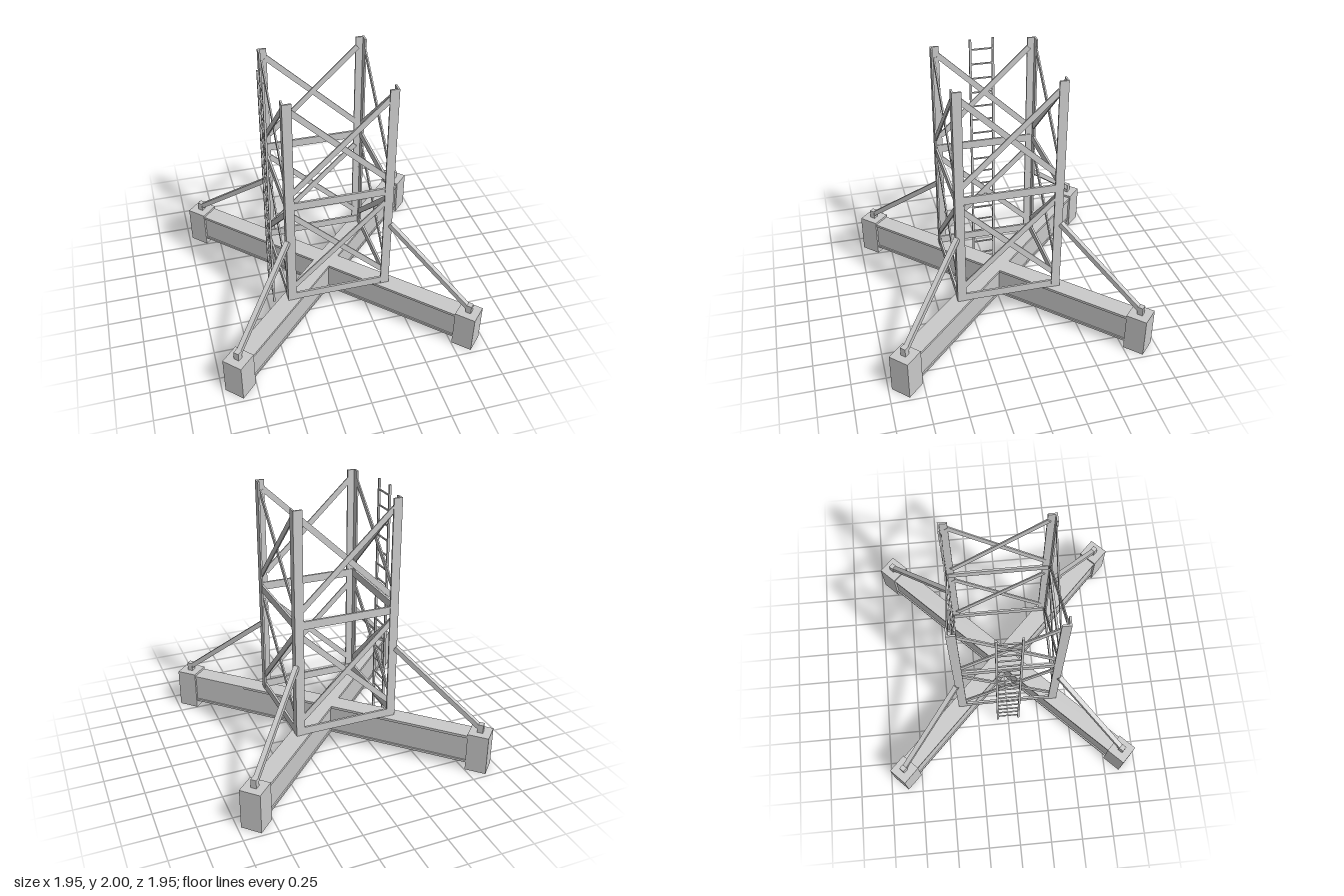
import * as THREE from 'three';

const material = new THREE.MeshStandardMaterial({ color: 0xcccccc, flatShading: true });

function box(name, w, h, d, x, y, z, parent) {
  const mesh = new THREE.Mesh(new THREE.BoxGeometry(w, h, d), material);
  mesh.name = name;
  mesh.position.set(x, y, z);
  parent.add(mesh);
  return mesh;
}

// Straight bar in the local XY plane, from (x1, y1) to (x2, y2)
function bar(name, x1, y1, x2, y2, width, depth, z, parent) {
  const length = Math.hypot(x2 - x1, y2 - y1);
  const mesh = box(name, length, width, depth, (x1 + x2) / 2, (y1 + y2) / 2, z, parent);
  mesh.rotation.z = Math.atan2(y2 - y1, x2 - x1);
  return mesh;
}

// L-shaped corner post with its outer corner at (+r, +r)
function cornerPost(parent) {
  const r = 0.395, a = 0.065, t = 0.013, bottom = 0.29, top = 2;
  const shape = new THREE.Shape([
    [r, r], [r - a, r], [r - a, r - t], [r - t, r - t], [r - t, r - a], [r, r - a],
  ].map(([x, y]) => new THREE.Vector2(x, y)));
  const geometry = new THREE.ExtrudeGeometry(shape, { depth: top - bottom, bevelEnabled: false });
  geometry.rotateX(-Math.PI / 2);
  const mesh = new THREE.Mesh(geometry, material);
  mesh.name = 'cornerPost';
  mesh.position.y = bottom;
  parent.add(mesh);
}

// One arm of the base along local +x: open-bottomed girder, foot block, brace
function baseArm(parent) {
  const end = 1.15, mid = end / 2;
  box('girderTop', end, 0.02, 0.142, mid, 0.277, 0, parent);
  for (const s of [-1, 1]) {
    box('girderWeb', end, 0.2, 0.012, mid, 0.167, s * 0.055, parent);
    box('girderLip', end, 0.018, 0.018, mid, 0.066, s * 0.062, parent);
  }
  const foot = 0.865 * Math.SQRT2;
  box('footBlock', 0.156, 0.305, 0.156, foot, 0.1525, 0, parent);
  box('footLug', 0.042, 0.065, 0.042, foot, 0.3375, 0, parent);
  bar('brace', foot, 0.335, 0.385 * Math.SQRT2, 0.86, 0.036, 0.036, 0, parent);
}

// One face of the tower, facing local +z
function towerSide(parent) {
  const z = 0.384;
  for (const y of [0.32, 1.17]) box('crossRail', 0.75, 0.06, 0.016, 0, y, z, parent);
  for (const [low, high] of [[0.425, 1.075], [1.285, 1.93]]) {
    for (const s of [-1, 1]) {
      bar('diagonal', -s * 0.34, low, s * 0.34, high, 0.042, 0.01, z - 0.003 + s * 0.004, parent);
    }
  }
}

// Ladder standing beside the right face
function ladder(parent) {
  const x = -0.45;
  for (const s of [-1, 1]) box('ladderRail', 0.016, 2, 0.016, x, 1, s * 0.086, parent);
  for (let i = 0; i < 17; i++) {
    box('ladderRung', 0.01, 0.01, 0.165, x, 1.92 - i * 0.1153, 0, parent);
  }
}

export function createModel() {
  const model = new THREE.Group();
  model.name = 'towerBase';
  for (let i = 0; i < 4; i++) {
    const arm = new THREE.Group();
    arm.name = 'baseArm';
    arm.rotation.y = Math.PI / 4 + i * Math.PI / 2;
    baseArm(arm);

    const side = new THREE.Group();
    side.name = 'towerSide';
    side.rotation.y = i * Math.PI / 2;
    towerSide(side);
    cornerPost(side);
    model.add(arm, side);
  }
  const ladderGroup = new THREE.Group();
  ladderGroup.name = 'ladder';
  ladder(ladderGroup);
  model.add(ladderGroup);
  return model;
}
